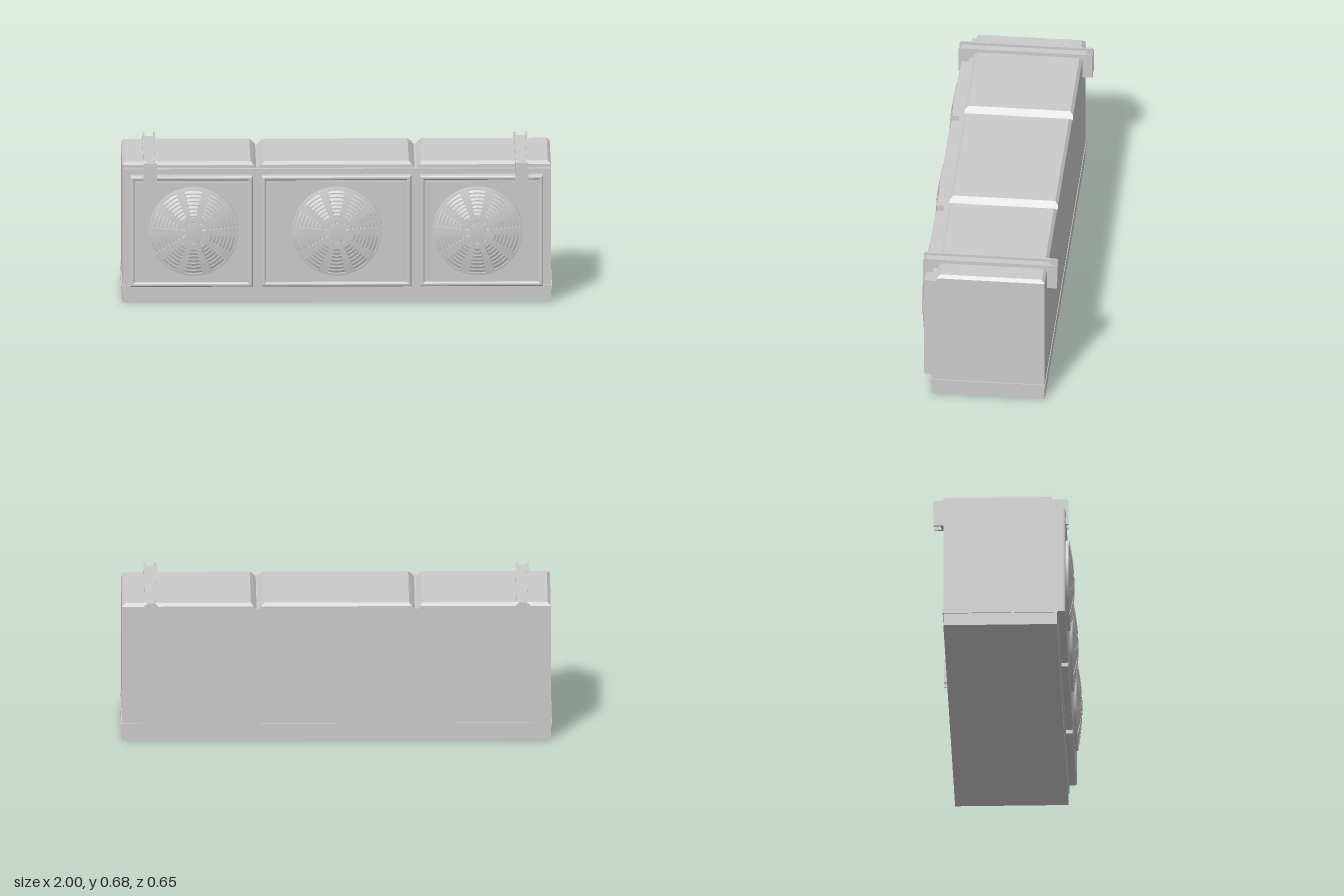
import * as THREE from 'three';
import { toCreasedNormals } from 'three/addons/utils/BufferGeometryUtils.js';

const mat = new THREE.MeshStandardMaterial({ color: 0xcccccc });

function add(parent, name, geo) {
  const m = new THREE.Mesh(geo, mat);
  m.name = name;
  parent.add(m);
  return m;
}

// Box given by its limits; the top face may be drawn in on each side
function block(x0, x1, y0, y1, z0, z1, inset = [0, 0, 0, 0]) {
  const g = new THREE.BoxGeometry(1, 1, 1);
  const p = g.attributes.position;
  for (let i = 0; i < p.count; i++) {
    const top = p.getY(i) > 0 ? 1 : 0;
    p.setXYZ(i,
      p.getX(i) < 0 ? x0 + top * inset[0] : x1 - top * inset[1],
      top ? y1 : y0,
      p.getZ(i) < 0 ? z0 + top * inset[2] : z1 - top * inset[3]);
  }
  g.computeVertexNormals();
  return g;
}

function rectPath(x0, x1, y0, y1, inset, Type = THREE.Shape) {
  const a = x0 + inset, b = x1 - inset, c = y0 + inset, d = y1 - inset;
  return new Type([[a, c], [b, c], [b, d], [a, d]].map(q => new THREE.Vector2(...q)));
}

// Front panel: rounded lip, groove and raised centre plate
function frontPanel(x0, x1) {
  const g = new THREE.Group();
  g.name = 'frontPanel';
  const y0 = 0.082, y1 = 0.61;
  const lip = rectPath(x0, x1, y0, y1, 0.01);
  lip.holes.push(rectPath(x0, x1, y0, y1, 0.012, THREE.Path));
  const geo = new THREE.ExtrudeGeometry(lip, {
    depth: 0.03, bevelSize: 0.01, bevelThickness: 0.01, bevelSegments: 4,
  });
  add(g, 'panelLip', geo).position.z = 0.252;
  add(g, 'panelBacking', block(x0 + 0.01, x1 - 0.01, y0 + 0.01, y1 - 0.01, 0.24, 0.28));
  add(g, 'panelPlate', block(x0 + 0.03, x1 - 0.03, y0 + 0.03, y1 - 0.03, 0.27, 0.288));
  return g;
}

// Domed fan grille, built around the z axis
const R = 0.21;
const dome = r => 0.303 + 0.022 * (1 - (r / R) ** 2);

function ring(r0, r1, drop, tilt, depth) {
  const a = dome(r0) - drop, b = dome(r1) - drop - tilt;
  const pts = [[r0, a - depth], [r1, b - depth], [r1, b], [r0, a], [r0, a - depth]];
  const g = new THREE.LatheGeometry(pts.map(q => new THREE.Vector2(...q)), 48);
  return toCreasedNormals(g.rotateX(Math.PI / 2), 0.5);
}

function spoke(angle) {
  const g = new THREE.BoxGeometry(1, 1, 1, 8, 1, 1);
  const p = g.attributes.position;
  for (let i = 0; i < p.count; i++) {
    const r = 0.035 + (p.getX(i) + 0.5) * 0.17;
    p.setXYZ(i, r, p.getY(i) * (0.008 + 0.18 * r), p.getZ(i) > 0 ? dome(r) : 0.29);
  }
  g.computeVertexNormals();
  return g.rotateZ(angle);
}

function fan(x) {
  const g = new THREE.Group();
  g.name = 'fan';
  add(g, 'fanBacking', new THREE.CylinderGeometry(R - 0.003, R - 0.003, 0.012, 48)
    .rotateX(Math.PI / 2)).position.z = 0.286;
  add(g, 'fanRim', ring(0.2, R, 0, 0, 0.02));
  for (let i = 0; i < 7; i++) {
    const r = 0.08 + i * 0.0175;
    add(g, 'louvreRing', ring(r, r + 0.0105, 0.001, 0.003, 0.005));
  }
  add(g, 'innerRing', ring(0.058, 0.072, 0, 0, 0.012));
  for (let i = 0; i < 10; i++) add(g, 'spoke', spoke(i * Math.PI / 5));
  // Hub cap with a flat centre
  const cap = [[0.04, 0.292], [0.04, dome(0.04)], [0.028, 0.325], [0, 0.325]];
  add(g, 'hubCap', toCreasedNormals(new THREE.LatheGeometry(
    cap.map(q => new THREE.Vector2(...q)), 32).rotateX(Math.PI / 2), 0.5));
  g.position.set(x, 0.348, 0);
  return g;
}

// Hanger: a channel hooked over the top, profile given as [z, y]
function sideProfile(points, width) {
  const s = new THREE.Shape(points.map(([z, y]) => new THREE.Vector2(-z, y)));
  return new THREE.ExtrudeGeometry(s, { depth: width, bevelEnabled: false })
    .translate(0, 0, -width / 2).rotateY(Math.PI / 2);
}

function hanger(x) {
  const g = new THREE.Group();
  g.name = 'hanger';
  const inner = [[-0.27, 0.557], [-0.27, 0.63], [0.25, 0.63], [0.25, 0.557]];
  const flange = [[0.303, 0.557], [0.303, 0.674], [0.294, 0.683],
    [-0.314, 0.683], [-0.323, 0.674], [-0.323, 0.557], ...inner];
  const web = [[0.293, 0.557], [0.293, 0.67], [-0.288, 0.67], [-0.288, 0.557], ...inner];
  for (const s of [-1, 1]) add(g, 'hangerFlange', sideProfile(flange, 0.01)).position.x = s * 0.026;
  add(g, 'hangerWeb', sideProfile(web, 0.05));
  g.position.x = x;
  return g;
}

export function createModel() {
  const model = new THREE.Group();
  model.name = 'airCoolerUnit';

  // Casing and base trim
  add(model, 'casing', block(-0.995, 0.995, 0, 0.635, -0.275, 0.252));
  add(model, 'baseTrim', block(-1, 1, 0.06, 0.081, -0.278, 0.257));

  // Top covers, bevelled, with V grooves between them
  const covers = [[-0.995, -0.372, 0, 1], [-0.365, 0.363, 1, 1], [0.37, 0.995, 1, 0]];
  for (const [x0, x1, l, r] of covers) {
    const a = l * 0.014, b = r * 0.014;
    add(model, 'topCover', block(x0, x1, 0.634, 0.65, -0.275, 0.23, [a, b, 0, 0]));
    add(model, 'topCoverBevel', block(x0 + a, x1 - b, 0.65, 0.664, -0.275, 0.23,
      [0.014, 0.014, 0.014, 0.016]));
  }

  // Front panels with their fans
  for (const [x0, x1, c] of [[-0.96, -0.39, -0.665], [-0.35, 0.346, 0], [0.386, 0.958, 0.653]]) {
    model.add(frontPanel(x0, x1), fan(c));
  }

  for (const x of [-0.866, 0.86]) model.add(hanger(x));
  return model;
}
